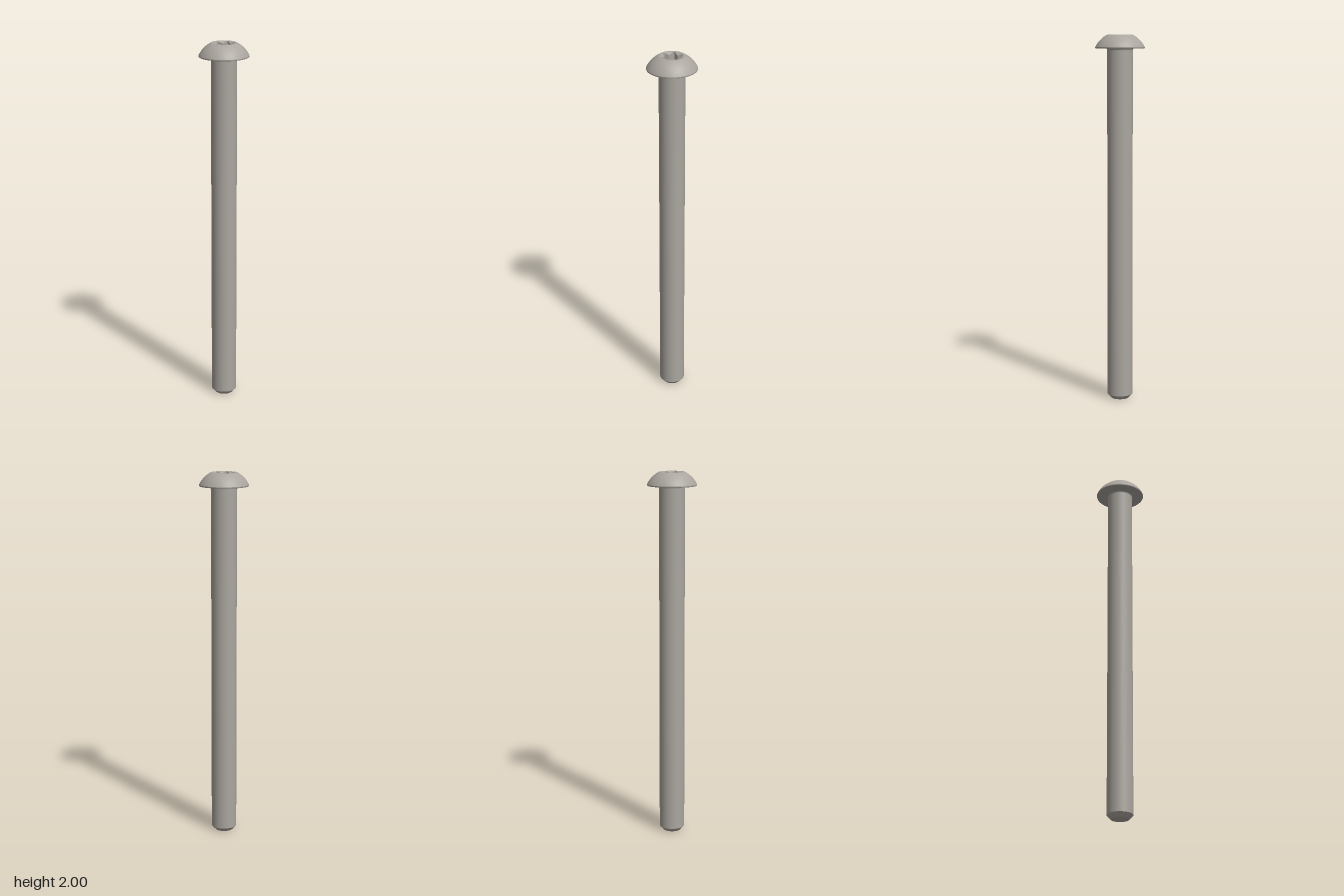
import * as THREE from 'three';

const steel = new THREE.MeshStandardMaterial({ color: 0xaaa59e });
steel.name = 'steel';

// One smooth revolved surface; separate surfaces keep the edges between them sharp
function revolve(name, points, segments = 64) {
  const geometry = new THREE.LatheGeometry(points.map(([r, y]) => new THREE.Vector2(r, y)), segments);
  const mesh = new THREE.Mesh(geometry, steel);
  mesh.name = name;
  return mesh;
}

// Points on an arc about (cx, cy), from angle a to angle b
function arc(cx, cy, radius, a, b, steps) {
  return Array.from({ length: steps + 1 }, (_, i) => {
    const t = a + (b - a) * i / steps;
    return [cx + radius * Math.cos(t), cy + radius * Math.sin(t)];
  });
}

const SOCKET = 0.057;
// Six-lobed outline of the socket, with lobes on the z axis
const lobeRadius = (phi) => 0.041 + 0.016 * Math.pow((1 + Math.cos(6 * phi)) / 2, 1.25);
const chamferY = (r) => 2 - (SOCKET - r) * 0.6;

// Revolved surface whose points are moved onto the lobed outline: rule(row, phi) gives [r, y]
function lobed(name, rows, rule) {
  const segments = 144;
  const mesh = revolve(name, Array.from({ length: rows }, (_, i) => [0.05, 2 - i * 0.01]), segments);
  const position = mesh.geometry.attributes.position;
  for (let i = 0; i < position.count; i++) {
    const phi = Math.floor(i / rows) / segments * Math.PI * 2;
    const [r, y] = rule(i % rows, phi);
    position.setXYZ(i, r * Math.sin(phi), y, r * Math.cos(phi));
  }
  mesh.geometry.computeVertexNormals();
  return mesh;
}

export function createModel() {
  const screw = new THREE.Group();
  screw.name = 'screw';

  // Shank with a chamfered tip and a fillet below the head
  const shank = new THREE.Group();
  shank.name = 'shank';
  shank.add(
    revolve('tipFace', [[0, 0], [0.049, 0]]),
    revolve('tipChamfer', [[0.049, 0], [0.069, 0.022]]),
    revolve('shaft', [[0.069, 0.022], [0.069, 1.918]]),
    revolve('neckFillet', arc(0.079, 1.918, 0.01, Math.PI, Math.PI / 2, 6)),
  );

  // Button head: flat underside, thin rim, spherical dome and flat crown
  const head = new THREE.Group();
  head.name = 'head';
  const h = 0.0659;
  const domeY = 1.935 - h;
  const domeR = Math.hypot(0.133, h);
  head.add(
    revolve('headUnderside', [[0.079, 1.928], [0.131, 1.928]]),
    revolve('headRim', [[0.131, 1.928], [0.133, 1.93], [0.133, 1.935]]),
    revolve('headDome', arc(0, domeY, domeR, Math.atan2(h, 0.133), Math.atan2(2 - domeY, 0.07), 14)),
    revolve('headCrown', [[0.07, 2], [SOCKET, 2]], 144),
  );

  // Star socket: sloped lead-in, upright lobed wall and conical floor
  const socket = new THREE.Group();
  socket.name = 'socket';
  const floorY = 1.955;
  socket.add(
    lobed('socketLeadIn', 2, (row, phi) => {
      const r = row ? lobeRadius(phi) : SOCKET;
      return [r, chamferY(r)];
    }),
    lobed('socketWall', 2, (row, phi) => {
      const r = lobeRadius(phi);
      return [r, row ? floorY - (SOCKET - r) * 0.4 : chamferY(r)];
    }),
    lobed('socketFloor', 2, (row, phi) => {
      const r = row ? 0 : lobeRadius(phi);
      return [r, floorY - (SOCKET - r) * 0.4];
    }),
  );

  screw.add(shank, head, socket);
  return screw;
}
